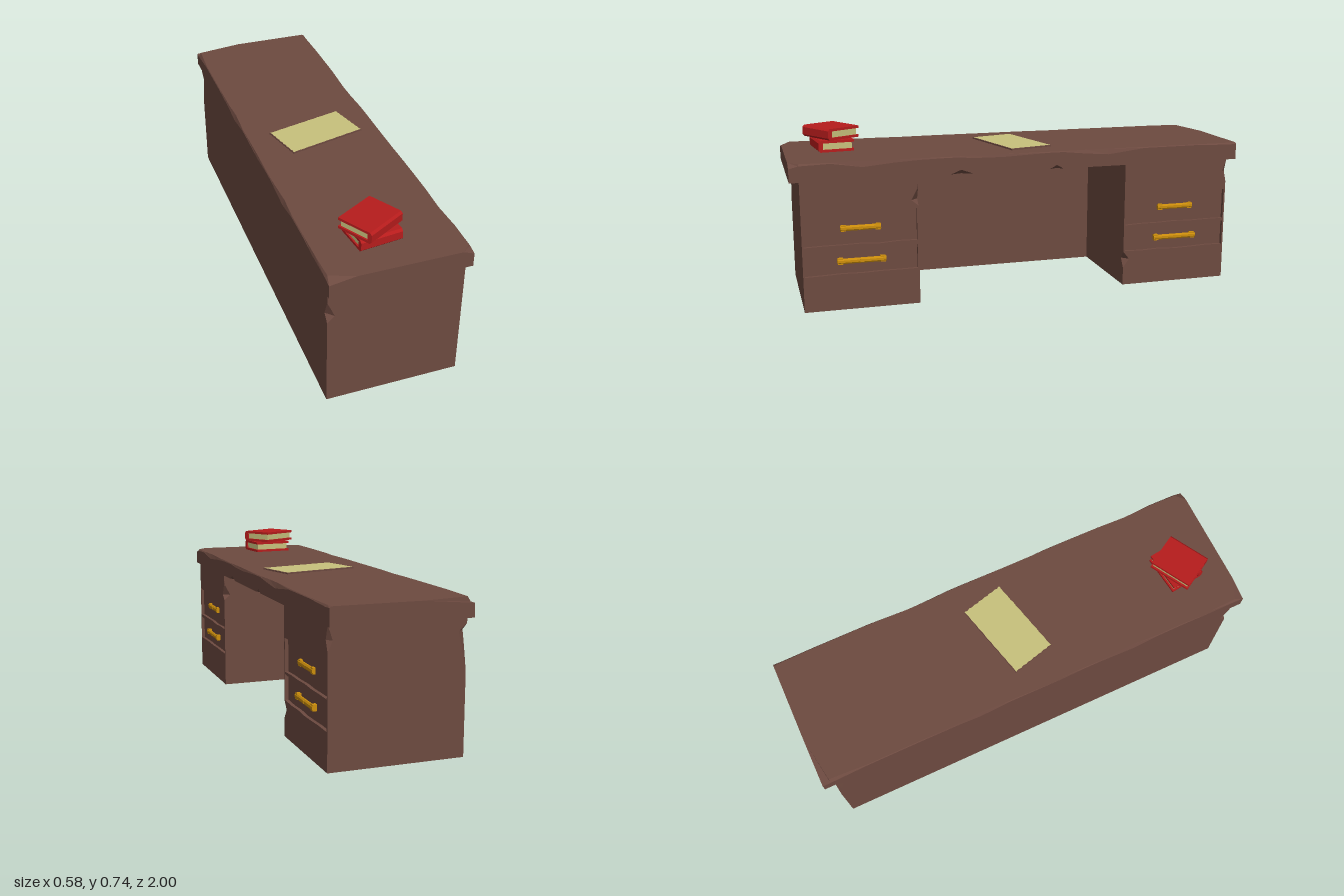
import * as THREE from 'three';

const mat = (name, color) => Object.assign(new THREE.MeshStandardMaterial({ color, flatShading: true }), { name });

// Flat-faced skin over a list of equal-length rings; keep(j) can leave out a side
function skin(rings, caps = false, keep = () => true) {
  const v = [];
  const tri = (...p) => p.forEach((q) => v.push(...q));
  for (let i = 0; i < rings.length - 1; i++) {
    const r = rings[i], s = rings[i + 1], n = r.length;
    for (let j = 0; j < n; j++) {
      if (!keep(j)) continue;
      const k = (j + 1) % n;
      tri(r[j], r[k], s[k]);
      tri(r[j], s[k], s[j]);
    }
  }
  if (caps) {
    const a = rings[0], b = rings[rings.length - 1];
    for (let j = 1; j < a.length - 1; j++) {
      tri(a[0], a[j + 1], a[j]);
      tri(b[0], b[j], b[j + 1]);
    }
  }
  const g = new THREE.BufferGeometry();
  g.setAttribute('position', new THREE.Float32BufferAttribute(v, 3));
  g.computeVertexNormals();
  return g;
}

export function createModel() {
  const wood = mat('brown wood', 0x6d4a40);
  const gold = mat('gold handle', 0xcc8e0c);
  const red = mat('red cover', 0xb71c1c);
  const paper = mat('parchment', 0xc8c17c);
  const root = new THREE.Group();
  root.name = 'desk';
  const add = (parent, name, geo, m, x = 0, y = 0, z = 0) => {
    const mesh = new THREE.Mesh(geo, m);
    mesh.name = name;
    mesh.position.set(x, y, z);
    parent.add(mesh);
    return mesh;
  };
  let seed = 7;
  const rnd = () => ((seed = (seed * 16807) % 2147483647) / 2147483647) * 2 - 1;

  const X = 0.283, XI = -0.19, TOP = 0.557, REC = 0.268, T = 0.03;

  // Worn table top: z, left inset and drop, right inset and drop, lower right chip
  const W = 0.292, Y1 = 0.633;
  const sections = [
    [-1, 0.22, 0.02, 0.01, 0.006, 0], [-0.965, 0.012, 0.02, 0.006, 0.008, 0],
    [-0.8, 0.003, 0.004, 0.003, 0.003, 0], [-0.55, 0.003, 0.004, 0.003, 0.004, 0],
    [-0.38, 0.004, 0.01, 0.009, 0.024, 0], [-0.28, 0.009, 0.024, 0.008, 0.016, 0],
    [-0.17, 0.004, 0.01, 0.003, 0.004, 0], [-0.14, 0.003, 0.004, 0.003, 0.004, 0.016],
    [-0.11, 0.003, 0.004, 0.003, 0.004, 0], [0.1, 0.004, 0.012, 0.004, 0.012, 0],
    [0.235, 0.003, 0.004, 0.004, 0.01, 0], [0.285, 0.003, 0.005, 0.003, 0.005, 0.018],
    [0.33, 0.004, 0.01, 0.003, 0.004, 0], [0.45, 0.009, 0.024, 0.003, 0.006, 0],
    [0.57, 0.003, 0.005, 0.004, 0.012, 0], [0.7, 0.003, 0.004, 0.009, 0.024, 0],
    [0.83, 0.004, 0.012, 0.003, 0.004, 0], [0.96, 0.008, 0.012, 0.006, 0.008, 0],
    [1, 0.11, 0.018, 0.046, 0.018, 0],
  ];
  const topRings = sections.map(([z, li, ld, ri, rd, c]) => [
    [-W, TOP, z], [W - c, TOP, z], [W, TOP + c + 0.0005, z], [W, Y1 - rd, z],
    [W - ri, Y1, z], [-W + li, Y1, z], [-W, Y1 - ld, z],
  ]);
  add(root, 'tableTop', skin(topRings, true), wood);

  // U-shaped hollow body; convex corners have chips of changing depth with height
  const outline = [[X, 0.96], [X, 0.47], [XI, 0.47], [XI, -0.465], [X, -0.465], [X, -0.96], [-X, -0.96], [-X, 0.96]];
  const rows = [ // y, then the chip at each corner of the outline
    [0, 0, 0, 0, 0, 0, 0, 0, 0], [0.08, 0, 0, 0, 0, 0, 0, 0, 0],
    [0.12, 0, 0, 0, 0, 0.028, 0, 0, 0], [0.155, 0, 0, 0, 0, 0, 0, 0, 0],
    [0.34, 0, 0, 0, 0, 0, 0, 0, 0], [0.4, 0, 0, 0, 0, 0, 0, 0.012, 0],
    [0.43, 0, 0, 0, 0, 0, 0, 0.018, 0.03], [0.455, 0, 0.03, 0, 0, 0, 0, 0.024, 0.02],
    [0.5, 0, 0.006, 0, 0, 0, 0.02, 0.035, 0], [0.53, 0, 0, 0, 0, 0, 0.01, 0, 0],
    [TOP, 0, 0, 0, 0, 0, 0, 0, 0],
  ];
  const bodyRings = rows.map(([y, ...chips]) => outline.flatMap(([x, z], j) => {
    const c = chips[j];
    return [outline[(j + 7) % 8], outline[(j + 1) % 8]].map(([px, pz]) =>
      [x + Math.sign(px - x) * c, y, z + Math.sign(pz - z) * c]);
  }));
  add(root, 'bodyWalls', skin(bodyRings, false, (j) => j !== 1 && j !== 9), wood);

  // Inside of the hollow body and its bottom rim
  const inner = [[X - T, 0.96 - T], [X - T, 0.47 + T], [XI - T, 0.47 + T], [XI - T, -0.465 - T],
    [X - T, -0.465 - T], [X - T, -0.96 + T], [-X + T, -0.96 + T], [-X + T, 0.96 - T]];
  const innerRings = [0, TOP].map((y) => inner.map(([x, z]) => [x, y, z]).reverse());
  add(root, 'innerWalls', skin(innerRings), wood);
  const vec = (p) => new THREE.Vector2(...p);
  const rim = new THREE.Shape(outline.map(vec));
  rim.holes.push(new THREE.Path(inner.map(vec)));
  add(root, 'bottomRim', new THREE.ShapeGeometry(rim).rotateX(Math.PI / 2), wood);

  // Drawer fronts set back in a frame with rough openings
  const drawers = [
    { y0: 0.155, y1: 0.265, hy: 0.211, len: 0.205, out: 0.291 },
    { y0: 0.28, y1: 0.42, hy: 0.351, len: 0.17, out: 0.285 },
  ];
  [[0.96, 0.47, 1, 2], [-0.465, -0.96, 5, 6]].forEach(([hi, lo, cHi, cLo], side) => {
    const pedestal = new THREE.Group();
    pedestal.name = side ? 'rearPedestal' : 'frontPedestal';
    root.add(pedestal);
    const frame = new THREE.Shape([
      ...rows.map((r) => new THREE.Vector2(-lo - r[cLo], r[0])),
      ...rows.map((r) => new THREE.Vector2(-hi + r[cHi], r[0])).reverse(),
    ]);
    for (const { y0, y1 } of drawers) {
      const a = -hi + 0.007, b = -lo - 0.007, low = [], high = [];
      for (let i = 0; i <= 6; i++) {
        const u = a + ((b - a) * i) / 6;
        low.push(new THREE.Vector2(u, y0 + rnd() * 0.003));
        high.unshift(new THREE.Vector2(u, y1 + rnd() * 0.003));
      }
      frame.holes.push(new THREE.Path([...low, ...high]));
    }
    const geo = new THREE.ExtrudeGeometry(frame, { depth: X - REC, bevelEnabled: false });
    add(pedestal, 'drawerFrame', geo.rotateY(Math.PI / 2), wood, REC);

    const mid = (hi + lo) / 2;
    for (const { y0, y1, hy, len, out } of drawers) {
      add(pedestal, 'drawerFront', new THREE.BoxGeometry(0.01, y1 - y0 + 0.012, hi - lo - 0.006), wood,
        REC - 0.005, (y0 + y1) / 2, mid);
      // Handle: faceted bar, two posts and a small middle knob
      const handle = new THREE.Group();
      handle.name = 'handle';
      handle.position.set(0, hy, mid);
      pedestal.add(handle);
      const bar = new THREE.CylinderGeometry(0.012, 0.012, len, 8).rotateX(Math.PI / 2)
        .rotateZ(Math.PI / 8).scale(0.65, 1, 1);
      add(handle, 'handleBar', bar, gold, out - 0.009);
      for (const s of [-1, 1]) {
        add(handle, 'handlePost', new THREE.BoxGeometry(out - REC - 0.004, 0.026, 0.022), gold,
          (out + REC - 0.004) / 2, 0, s * (len / 2 - 0.013));
      }
      add(handle, 'handleKnob', new THREE.BoxGeometry(0.008, 0.012, 0.016), gold, out - 0.004);
    }
  });

  // Parchment sheet with ragged edges on a thin dark backing
  const sheet = (w, h, n) => {
    const pts = [];
    const corners = [[-w, -h], [w, -h], [w, h], [-w, h]];
    corners.forEach(([x, y], k) => {
      const [nx, ny] = corners[(k + 1) % 4];
      for (let i = 0; i < n; i++) {
        const t = i / n, d = 1 - (i % 2) * 0.018;
        pts.push(new THREE.Vector2((x + (nx - x) * t) * d, (y + (ny - y) * t) * d));
      }
    });
    return new THREE.Shape(pts);
  };
  const letter = new THREE.Group();
  letter.name = 'parchment';
  letter.position.set(0.013, Y1, -0.012);
  letter.rotation.y = 0.25;
  root.add(letter);
  add(letter, 'sheetBacking', new THREE.ExtrudeGeometry(sheet(0.181, 0.1, 14), { depth: 0.006, bevelEnabled: false })
    .rotateX(-Math.PI / 2), wood);
  add(letter, 'sheetFace', new THREE.ShapeGeometry(sheet(0.179, 0.098, 14)).rotateX(-Math.PI / 2), paper, 0, 0.0075);

  // Books: C-shaped cover with a bevelled spine toward +z, and a page block
  const book = (name, w, d, h, x, y, z, turn) => {
    const g = new THREE.Group();
    g.name = name;
    g.position.set(x, y, z);
    g.rotation.y = turn;
    root.add(g);
    const b = 0.009, t = 0.011, f = d / 2;
    const profile = [[f, b], [f, h - b], [f - b, h], [-f, h], [-f, h - t], [f - 0.02, h - t],
      [f - 0.02, t], [-f, t], [-f, 0], [f - b, 0]];
    const cover = new THREE.ExtrudeGeometry(new THREE.Shape(profile.map(vec)), { depth: w, bevelEnabled: false })
      .rotateY(-Math.PI / 2).translate(w / 2, 0, 0);
    add(g, 'bookCover', cover, red);
    add(g, 'bookPages', new THREE.BoxGeometry(w - 0.014, h - 2 * t, d - 0.028), paper, 0, h / 2, -0.006);
  };
  book('lowerBook', 0.18, 0.155, 0.05, -0.04, 0.635, 0.79, 0.12);
  book('upperBook', 0.19, 0.161, 0.05, -0.05, 0.687, 0.792, 0.522);

  return root;
}
